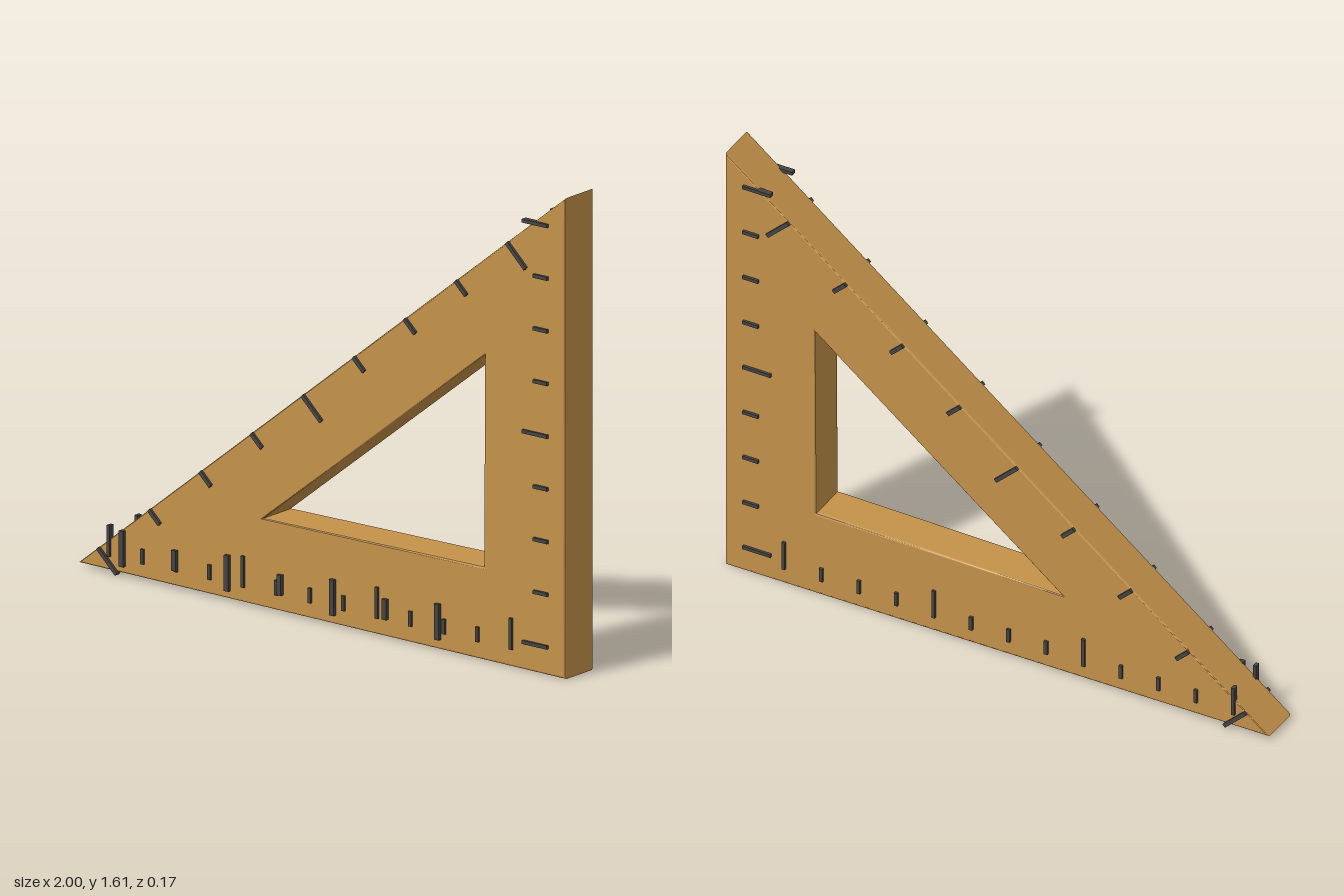
import * as THREE from 'three';

export function createModel() {
  const group = new THREE.Group();
  const wood = new THREE.MeshStandardMaterial({ color: 0xc4924a });
  const ink = new THREE.MeshStandardMaterial({ color: 0x444444 });
  const midZ = -0.0025;

  // Triangular frame with a triangular window and a slight bevel
  const tri = (pts) => pts.map(([x, y]) => new THREE.Vector2(x, y));
  const outline = new THREE.Shape(tri([[-1, 0.015], [0.995, 0], [0.995, 1.605]]));
  outline.holes.push(new THREE.Path(tri([[-0.24, 0.305], [0.665, 1.02], [0.66, 0.315]])));
  const bevel = 0.008, depth = 0.145;
  const geo = new THREE.ExtrudeGeometry(outline, {
    depth: depth - 2 * bevel, bevelEnabled: true, bevelThickness: bevel,
    bevelSize: bevel, bevelOffset: -bevel, bevelSegments: 2,
  });
  geo.translate(0, 0, midZ - depth / 2 + bevel);
  const frame = new THREE.Mesh(geo, wood);
  frame.name = 'frame';
  group.add(frame);

  // One raised tick running from (x0, y0) to (x1, y1) on the front (1) or back (-1)
  function tick(parent, x0, y0, x1, y1, width, side, rise = 0.009) {
    const length = Math.hypot(x1 - x0, y1 - y0);
    const mesh = new THREE.Mesh(new THREE.BoxGeometry(length, width, 0.02), ink);
    mesh.position.set((x0 + x1) / 2, (y0 + y1) / 2, midZ + side * (depth / 2 + rise - 0.01));
    mesh.rotation.z = Math.atan2(y1 - y0, x1 - x0);
    mesh.name = 'tick';
    parent.add(mesh);
  }

  function scale(name) {
    const g = new THREE.Group();
    g.name = name;
    group.add(g);
    return g;
  }

  for (const side of [1, -1]) {
    const face = side > 0 ? 'front' : 'back';

    // Ticks along the base, every fourth one long
    const base = scale(face + 'BaseScale');
    for (let i = 0; i <= 12; i++) {
      const x = 0.777 - i * 0.1373;
      tick(base, x, 0.06, x, i % 4 ? 0.11 : 0.165, 0.012, side);
    }

    // Ticks up the vertical leg and down the sloping edge
    const leg = scale(face + 'LegScale');
    const slope = scale(face + 'SlopeScale');
    for (let i = 0; i <= 8; i++) {
      const y = 0.095 + i * 0.1758;
      tick(leg, i % 4 ? 0.87 : 0.825, y, 0.927, y, 0.012, side);

      const x = -0.915 + i * 0.2094, h = 0.08 + i * 0.1669;
      const len = i % 4 ? 0.043 : 0.077;
      tick(slope, x, h, x + len, h - len * 0.95, 0.014, side);
    }
  }

  // Second, wider scale on the front of the base
  const wide = scale('frontWideScale');
  for (let i = 0; i <= 6; i++) {
    const x = -0.815 + i * 0.2155;
    const long = i % 2 === 0;
    tick(wide, x, long ? 0.037 : 0.064, x, long ? 0.157 : 0.132, 0.018, 1, 0.013);
  }

  return group;
}
